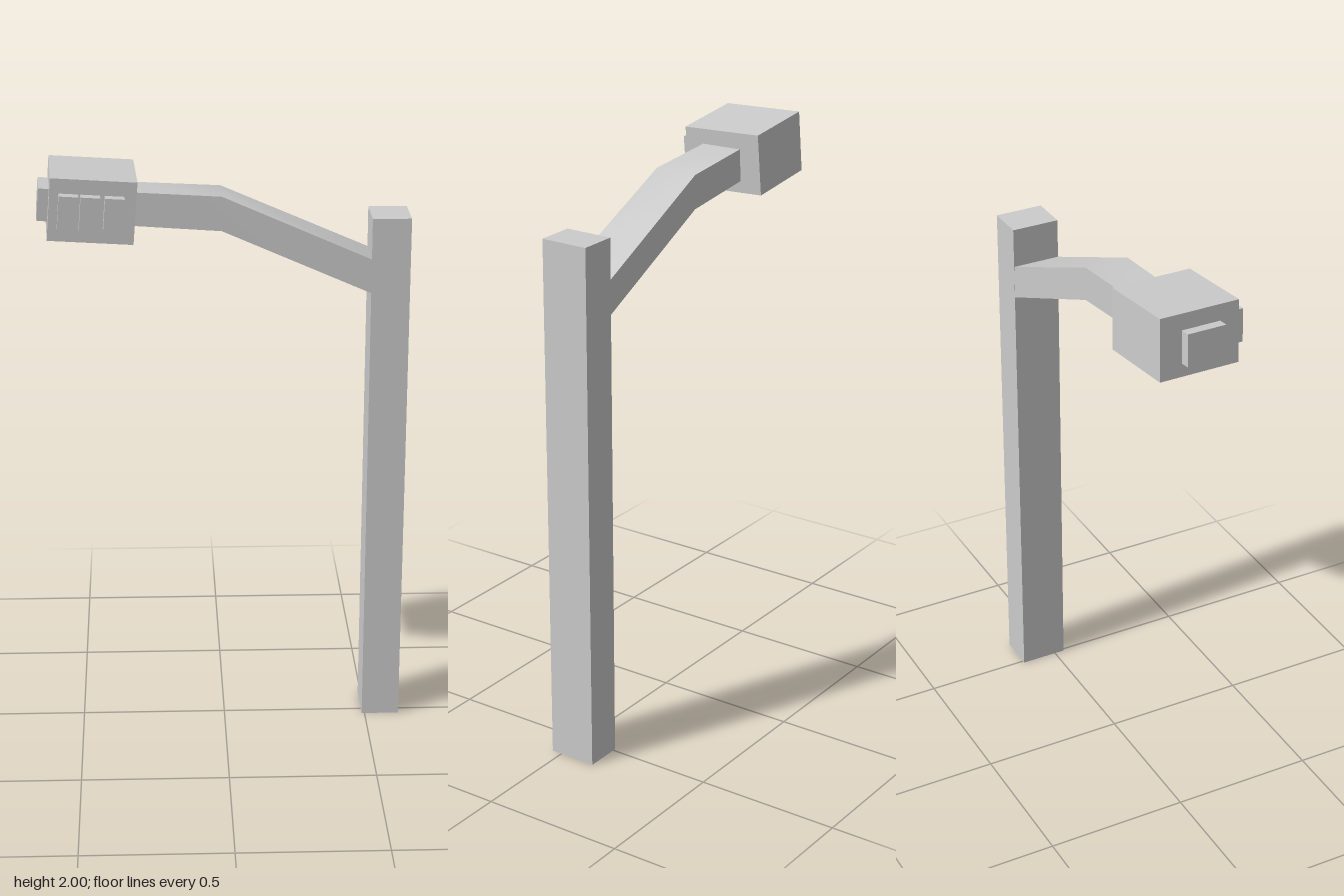
import * as THREE from 'three';
import { toCreasedNormals } from 'three/addons/utils/BufferGeometryUtils.js';

const material = new THREE.MeshStandardMaterial({ color: 0xcccccc });

function box(name, parent, size, position) {
  const mesh = new THREE.Mesh(new THREE.BoxGeometry(...size), material);
  mesh.name = name;
  mesh.position.set(...position);
  parent.add(mesh);
  return mesh;
}

// Joins rectangular sections [x, yBottom, yTop, zBack, zFront], listed along +x
function loftSections(sections) {
  const positions = [];
  const index = [];
  for (const [x, y0, y1, z0, z1] of sections) {
    positions.push(x, y0, z1, x, y0, z0, x, y1, z0, x, y1, z1);
  }
  const last = (sections.length - 1) * 4;
  for (let s = 0; s < last; s += 4) {
    for (let i = 0; i < 4; i++) {
      const a = s + i;
      const b = s + (i + 1) % 4;
      index.push(a, b, b + 4, a, b + 4, a + 4);
    }
  }
  index.push(0, 2, 1, 0, 3, 2, last, last + 1, last + 2, last, last + 2, last + 3);
  const geometry = new THREE.BufferGeometry();
  geometry.setAttribute('position', new THREE.Float32BufferAttribute(positions, 3));
  geometry.setIndex(index);
  return toCreasedNormals(geometry, 0.7);
}

export function createModel() {
  const model = new THREE.Group();
  model.name = 'postWithArm';

  // Upright post
  box('post', model, [0.13, 1.82, 0.167], [0.555, 0.91, -0.047]);

  // Bent arm, narrowing towards the head
  const arm = new THREE.Mesh(loftSections([
    [-0.31, 1.808, 1.921, -0.093, 0.05],
    [-0.01, 1.785, 1.902, -0.11, 0.043],
    [0.493, 1.563, 1.68, -0.13, 0.036],
  ]), material);
  arm.name = 'arm';
  model.add(arm);

  // Slightly tilted head with its raised panels
  const head = new THREE.Group();
  head.name = 'head';
  head.position.set(-0.442, 1.88, -0.019);
  head.rotation.set(0.03, 0.05, -0.075);
  model.add(head);
  box('headBody', head, [0.284, 0.211, 0.284], [0, 0, 0]);
  for (const x of [-0.08, -0.009, 0.07]) {
    box('frontPanel', head, [0.064, 0.112, 0.05], [x, 0, 0.152]);
  }
  box('sidePanel', head, [0.05, 0.11, 0.138], [-0.152, -0.005, 0.005]);

  return model;
}
